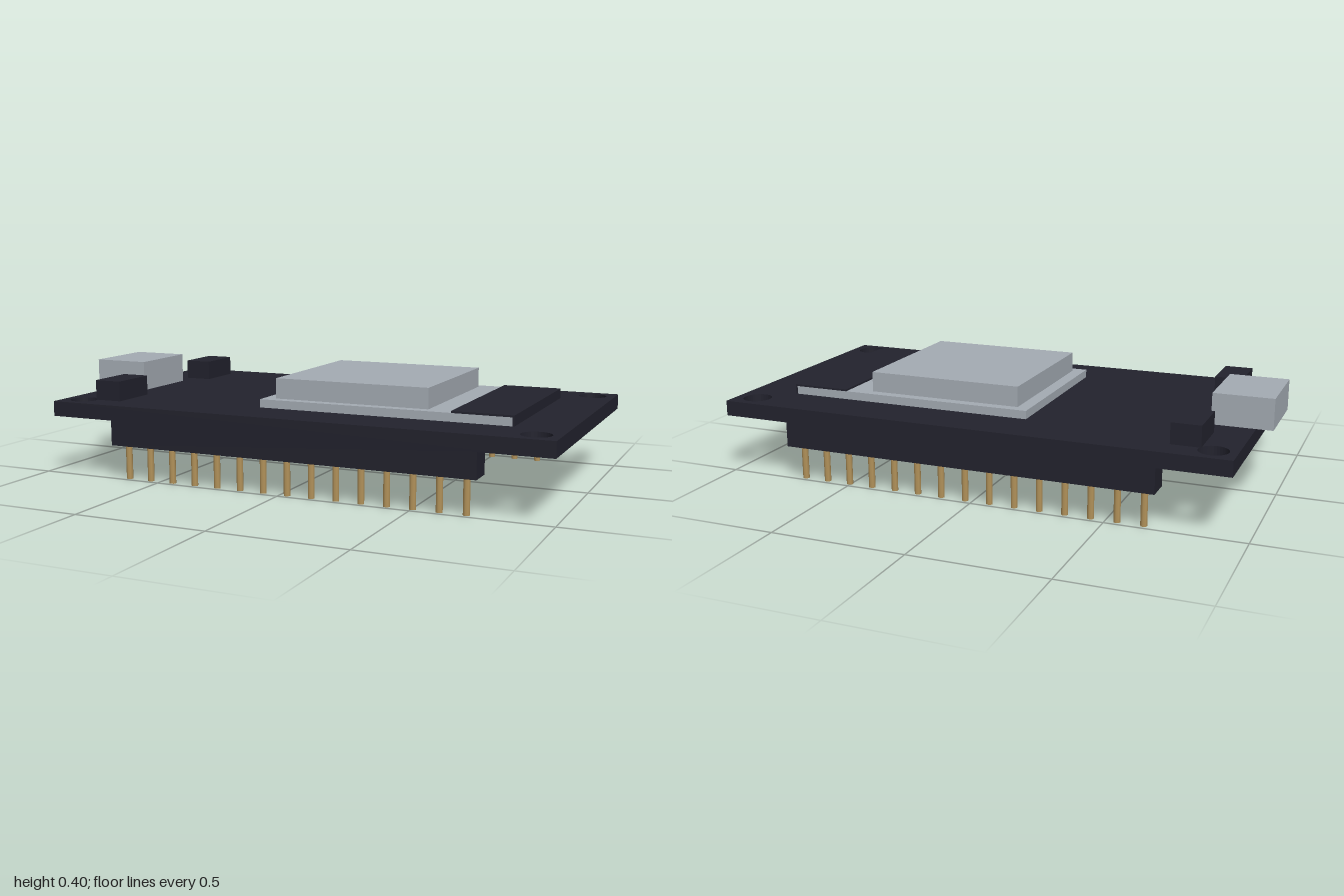
import * as THREE from 'three';

function material(name, color) {
  const m = new THREE.MeshStandardMaterial({ color });
  m.name = name;
  return m;
}

export function createModel() {
  const group = new THREE.Group();
  group.name = 'microcontrollerBoard';
  const dark = material('dark board', 0x22222d);
  const silver = material('silver metal', 0xa4abb3);
  const gold = material('gold pin', 0xb2925a);

  // Box given by its extents on each axis
  function box(name, mat, [x0, x1], [y0, y1], [z0, z1]) {
    const mesh = new THREE.Mesh(new THREE.BoxGeometry(x1 - x0, y1 - y0, z1 - z0), mat);
    mesh.position.set((x0 + x1) / 2, (y0 + y1) / 2, (z0 + z1) / 2);
    mesh.name = name;
    group.add(mesh);
  }

  // Circuit board with four mounting holes
  const outline = new THREE.Shape();
  outline.moveTo(-0.94, -0.527).lineTo(1, -0.527).lineTo(1, 0.527).lineTo(-0.94, 0.527).closePath();
  for (const x of [-0.857, 0.915]) {
    for (const y of [-0.445, 0.445]) {
      const hole = new THREE.Path();
      hole.absarc(x, y, 0.053, 0, Math.PI * 2, true);
      outline.holes.push(hole);
    }
  }
  const boardGeometry = new THREE.ExtrudeGeometry(outline, { depth: 0.057, bevelEnabled: false, curveSegments: 16 });
  boardGeometry.rotateX(-Math.PI / 2).translate(0, 0.228, 0);
  const board = new THREE.Mesh(boardGeometry, dark);
  board.name = 'circuitBoard';
  group.add(board);

  // Radio module: carrier plate, metal shield and dark antenna area
  box('moduleCarrier', silver, [-0.15, 0.805], [0.285, 0.316], [-0.335, 0.335]);
  box('moduleShield', silver, [-0.103, 0.493], [0.316, 0.392], [-0.297, 0.297]);
  box('antennaTop', dark, [0.588, 0.812], [0.316, 0.323], [-0.336, 0.336]);
  box('antennaEnd', dark, [0.805, 0.812], [0.285, 0.316], [-0.336, 0.336]);

  // Power connector
  box('usbConnector', silver, [-1, -0.78], [0.285, 0.4], [-0.148, 0.148]);

  // Buttons, header strips and pins on both sides
  const pinGeometry = new THREE.CylinderGeometry(0.0125, 0.0125, 0.15, 8);
  for (const side of [1, -1]) {
    const span = (a, b) => (side > 0 ? [a, b] : [-b, -a]);
    box('button', dark, [-0.812, -0.705], [0.285, 0.361], span(0.24, 0.43));
    box('pinHeader', dark, [-0.683, 0.74], [0.133, 0.228], span(0.43, 0.522));
    for (let i = 0; i < 15; i++) {
      const pin = new THREE.Mesh(pinGeometry, gold);
      pin.position.set(-0.637 + i * 0.0951, 0.075, side * 0.476);
      pin.name = 'headerPin';
      group.add(pin);
    }
  }
  return group;
}
